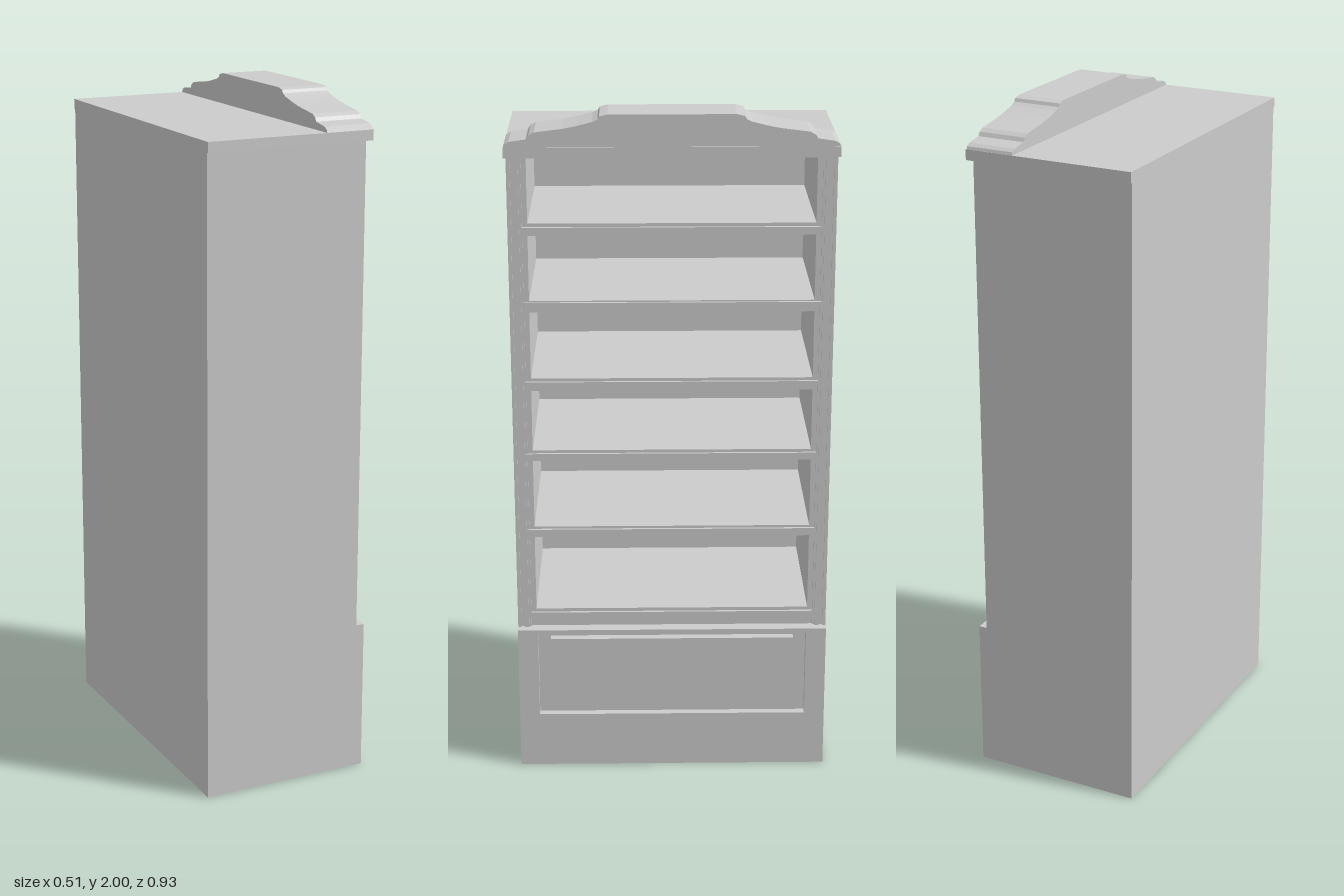
import * as THREE from 'three';

const mat = new THREE.MeshStandardMaterial({ color: 0xcccccc, flatShading: true });

function add(group, name, geometry) {
  const mesh = new THREE.Mesh(geometry, mat);
  mesh.name = name;
  group.add(mesh);
  return mesh;
}

// box given by its limits on each axis
function box(group, name, x0, x1, y0, y1, z0, z1) {
  const mesh = add(group, name, new THREE.BoxGeometry(x1 - x0, y1 - y0, z1 - z0));
  mesh.position.set((x0 + x1) / 2, (y0 + y1) / 2, (z0 + z1) / 2);
  return mesh;
}

// rectangle path in the (width, height) plane of the open side
function rect(PathType, half, y0, y1) {
  const p = new PathType();
  p.moveTo(-half, y0);
  p.lineTo(half, y0);
  p.lineTo(half, y1);
  p.lineTo(-half, y1);
  p.closePath();
  return p;
}

// extrude a (width, height) shape along x, from x0 to x1
function extrudeX(group, name, shape, x0, x1) {
  const g = new THREE.ExtrudeGeometry(shape, { depth: x1 - x0, bevelEnabled: false });
  g.rotateY(Math.PI / 2);
  g.translate(x0, 0, 0);
  return add(group, name, g);
}

export function createModel() {
  const root = new THREE.Group();
  root.name = 'bookcase';

  // Carcass: one block with six deep compartments
  const cells = [
    [0.505, 0.737], [0.77, 0.977], [1.01, 1.193],
    [1.23, 1.428], [1.462, 1.652], [1.687, 1.875],
  ];
  const carcass = rect(THREE.Shape, 0.46, 0.45, 1.88);
  for (const [y0, y1] of cells) carcass.holes.push(rect(THREE.Path, 0.405, y0, y1));
  extrudeX(root, 'carcass', carcass, -0.235, 0.218);
  box(root, 'backPanel', -0.255, -0.235, 0.45, 1.88, -0.46, 0.46);

  // Thin bead along the front of every shelf
  for (const y of [0.488, 0.756, 0.994, 1.214, 1.451, 1.67]) {
    box(root, 'shelfBead', 0.218, 0.226, y - 0.007, y + 0.007, -0.427, 0.427);
  }

  // Fluted uprights on both sides of the opening
  for (const s of [-1, 1]) {
    for (const [a, b, x] of [[0.45, 0.46, 0.23], [0.44, 0.45, 0.224], [0.427, 0.44, 0.23], [0.42, 0.427, 0.224]]) {
      box(root, 'uprightMoulding', 0.218, x, 0.45, 1.88, Math.min(s * a, s * b), Math.max(s * a, s * b));
    }
  }

  // Plinth with a sunken border around a raised panel
  box(root, 'plinth', -0.255, 0.232, 0, 0.45, -0.46, 0.46);
  const plinthFrame = rect(THREE.Shape, 0.46, 0, 0.45);
  plinthFrame.holes.push(rect(THREE.Path, 0.4, 0.17, 0.436));
  extrudeX(root, 'plinthFrame', plinthFrame, 0.232, 0.255);
  box(root, 'plinthPanel', 0.232, 0.257, 0.185, 0.422, -0.362, 0.362);

  // Top board
  box(root, 'topBoard', -0.255, 0.25, 1.88, 1.91, -0.466, 0.466);

  // Curved pediment above the open side
  const half = [
    [0.466, 1.908], [0.462, 1.918], [0.45, 1.925], [0.402, 1.932], [0.395, 1.943],
    [0.38, 1.951], [0.34, 1.956], [0.3, 1.961], [0.26, 1.969], [0.22, 1.979],
    [0.205, 1.986], [0.2, 1.995], [0.178, 2.0],
  ];
  const outline = [
    [-0.466, 1.9], [0.466, 1.9], ...half,
    ...half.slice().reverse().map(([z, y]) => [-z, y]),
  ];
  extrudeX(root, 'pediment', new THREE.Shape(outline.map(([z, y]) => new THREE.Vector2(z, y))), 0.105, 0.247);

  return root;
}
